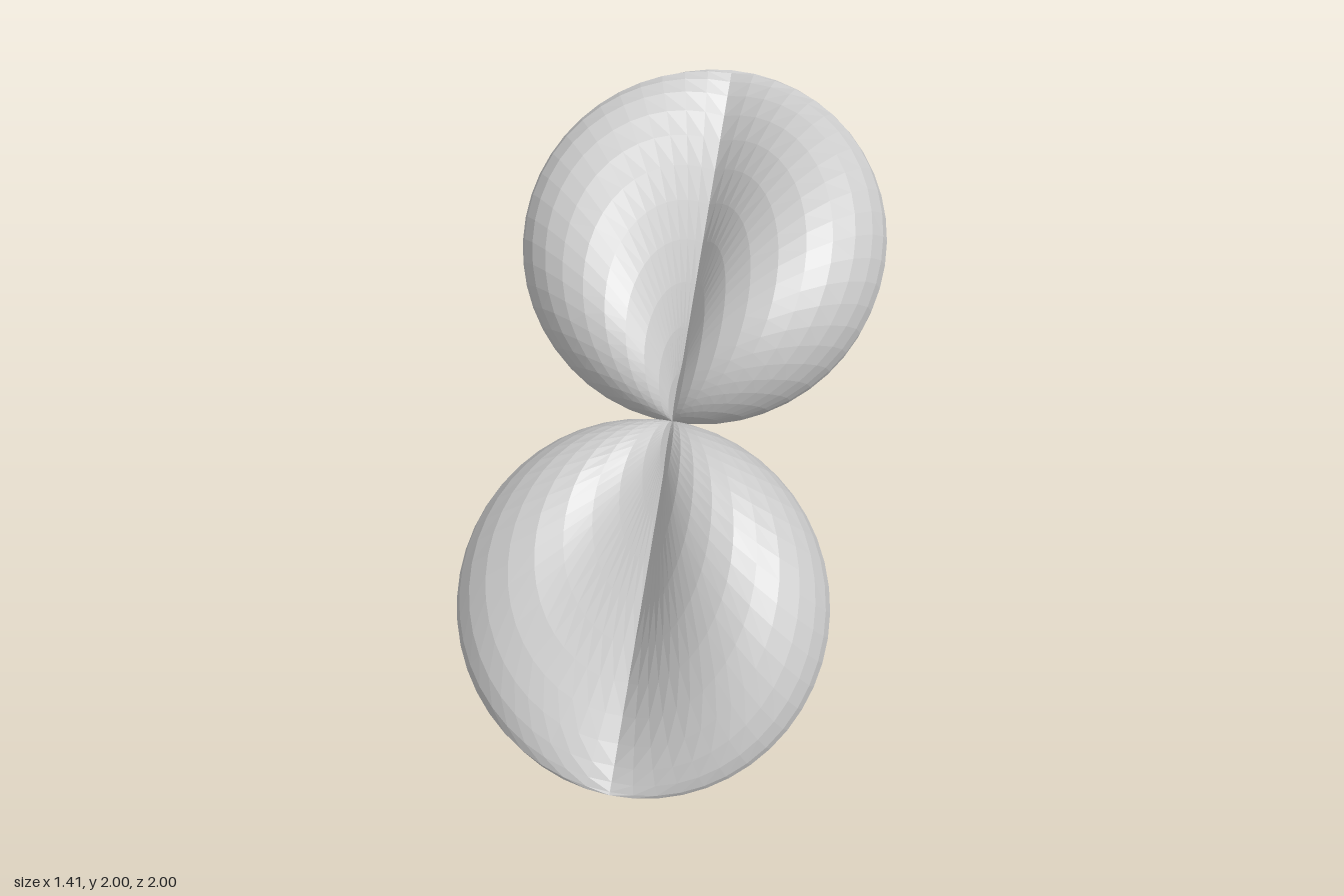
import * as THREE from 'three';

const RADIUS = Math.SQRT1_2; // radius of the largest circle of a lobe

// A lobe along +y: circles that all pass through the origin, each in a plane
// turned by psi about the y axis, with a diameter shrinking as cos(psi).
function lobeGeometry() {
  const geometry = new THREE.PlaneGeometry(1, 1, 48, 24);
  const pos = geometry.attributes.position;
  const uv = geometry.attributes.uv;
  for (let i = 0; i < pos.count; i++) {
    const beta = uv.getX(i) * Math.PI * 2;
    const psi = (0.5 - uv.getY(i)) * Math.PI;
    const r = RADIUS * Math.cos(psi);
    pos.setXYZ(
      i,
      r * Math.sin(beta) * Math.cos(psi),
      r * (1 + Math.cos(beta)),
      r * Math.sin(beta) * Math.sin(psi)
    );
  }
  geometry.computeVertexNormals();
  return geometry;
}

export function createModel() {
  const group = new THREE.Group();
  group.name = 'pinchedDoubleLobe';
  const material = new THREE.MeshStandardMaterial({
    color: 0xcccccc, flatShading: true, side: THREE.DoubleSide,
  });
  const geometry = lobeGeometry();

  // Two equal lobes meet at the centre and lean back and forward
  for (const [name, angle] of [['upperLobe', -Math.PI / 4], ['lowerLobe', Math.PI * 3 / 4]]) {
    const lobe = new THREE.Mesh(geometry, material);
    lobe.name = name;
    lobe.rotation.x = angle;
    lobe.position.y = 1;
    group.add(lobe);
  }
  return group;
}
